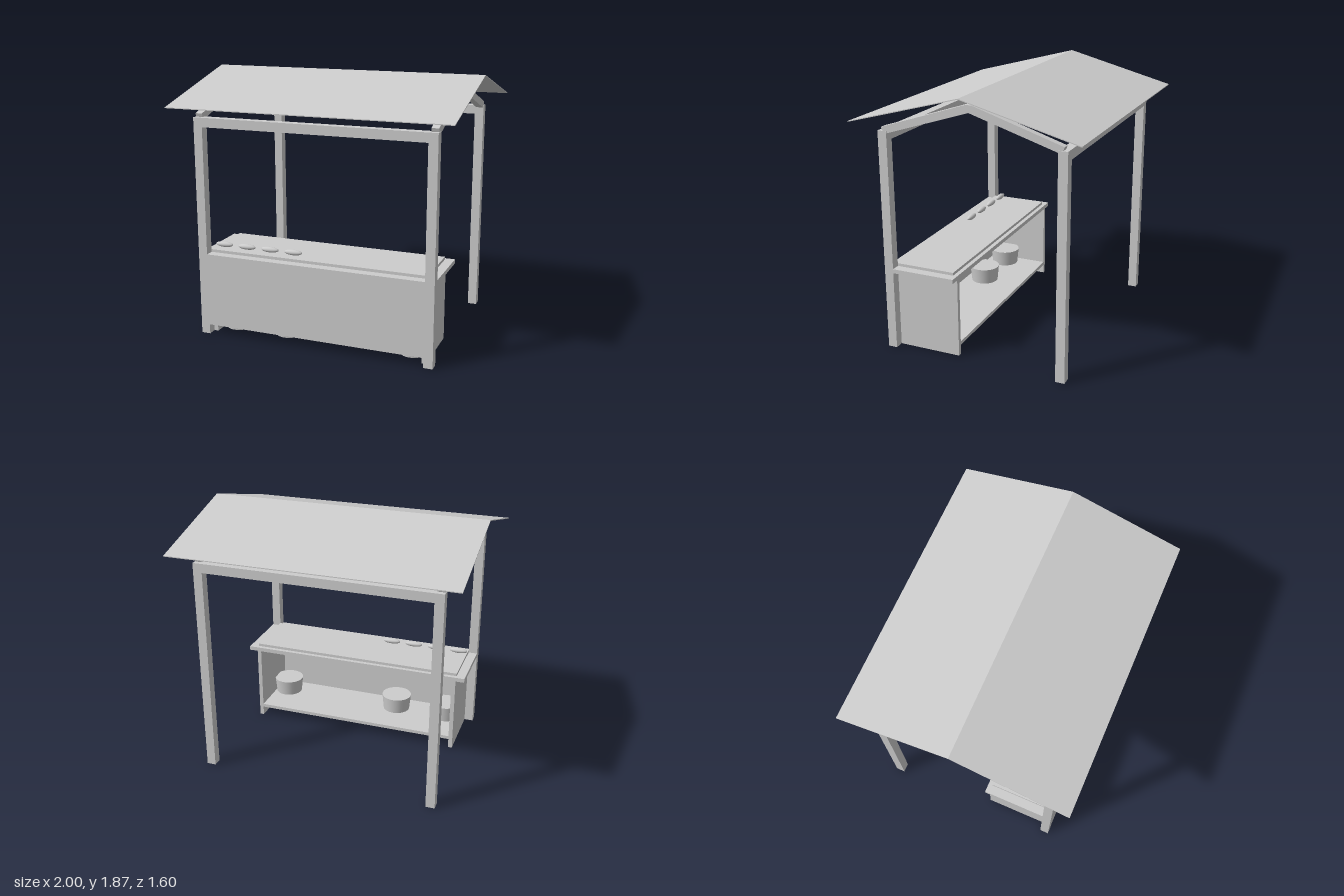
import * as THREE from 'three';

const grey = new THREE.MeshStandardMaterial({ color: 0xcccccc });
grey.name = 'plain grey';

export function createModel() {
  const stall = new THREE.Group();
  stall.name = 'marketStall';

  const add = (name, geometry, x = 0, y = 0, z = 0) => {
    const mesh = new THREE.Mesh(geometry, grey);
    mesh.name = name;
    mesh.position.set(x, y, z);
    stall.add(mesh);
    return mesh;
  };

  // box given by its extents on each axis
  const box = (name, [x0, x1], [y0, y1], [z0, z1]) =>
    add(name, new THREE.BoxGeometry(x1 - x0, y1 - y0, z1 - z0),
      (x0 + x1) / 2, (y0 + y1) / 2, (z0 + z1) / 2);

  // (z, y) outline extruded along x and centred on x
  const gable = (name, points, width, x) => {
    const shape = new THREE.Shape(points.map(([z, y]) => new THREE.Vector2(-z, y)));
    const geometry = new THREE.ExtrudeGeometry(shape, { depth: width, bevelEnabled: false });
    geometry.translate(0, 0, -width / 2).rotateY(Math.PI / 2);
    return add(name, geometry, x);
  };

  // corner posts and the beams joining them along x
  for (const [end, z] of [['front', [0.6, 0.665]], ['back', [-0.665, -0.6]]]) {
    box(end + 'LeftPost', [0.8, 0.865], [0, 1.575], z);
    box(end + 'RightPost', [-0.865, -0.8], [0, 1.575], z);
    box(end + 'Beam', [-0.8, 0.8], [1.51, 1.575], z);
  }

  // rafters at both ends and the ridge beam
  const rafter = [[0.64, 1.6], [0.02, 1.8], [-0.02, 1.8], [-0.64, 1.6], [-0.625, 1.555],
    [-0.6, 1.56], [0, 1.75], [0.6, 1.56], [0.625, 1.555]];
  gable('leftRafters', rafter, 0.05, 0.835);
  gable('rightRafters', rafter, 0.05, -0.835);
  box('ridgeBeam', [-0.81, 0.81], [1.752, 1.8], [-0.02, 0.02]);

  // thin pitched roof
  gable('roof', [[0.8, 1.655], [0, 1.868], [-0.8, 1.655], [-0.8, 1.649], [0, 1.862], [0.8, 1.649]], 2, 0);

  // counter
  box('frontPanel', [-0.8, 0.8], [0.07, 0.6], [0.6, 0.665]);
  box('leftPanel', [0.77, 0.8], [0, 0.57], [0.14, 0.6]);
  box('rightPanel', [-0.8, -0.77], [0, 0.57], [0.14, 0.6]);
  box('counterTop', [-0.865, 0.865], [0.57, 0.6], [0.14, 0.6]);
  box('counterBoard', [-0.8, 0.8], [0.6, 0.62], [0.17, 0.6]);
  box('shelf', [-0.77, 0.77], [0.07, 0.095], [0.14, 0.6]);

  // tubs set into the shelf
  for (const x of [0.668, -0.267, -0.668])
    add('tub', new THREE.CylinderGeometry(0.115, 0.093, 0.215, 32), x, 0.1075, 0.45);

  // loaves lying on the counter
  for (let i = 0; i < 4; i++) {
    const loaf = new THREE.SphereGeometry(1, 24, 16).rotateZ(Math.PI / 2).scale(0.067, 0.02, 0.022);
    add('loaf', loaf, -0.735 + i * 0.18, 0.642, 0.523);
  }

  return stall;
}
